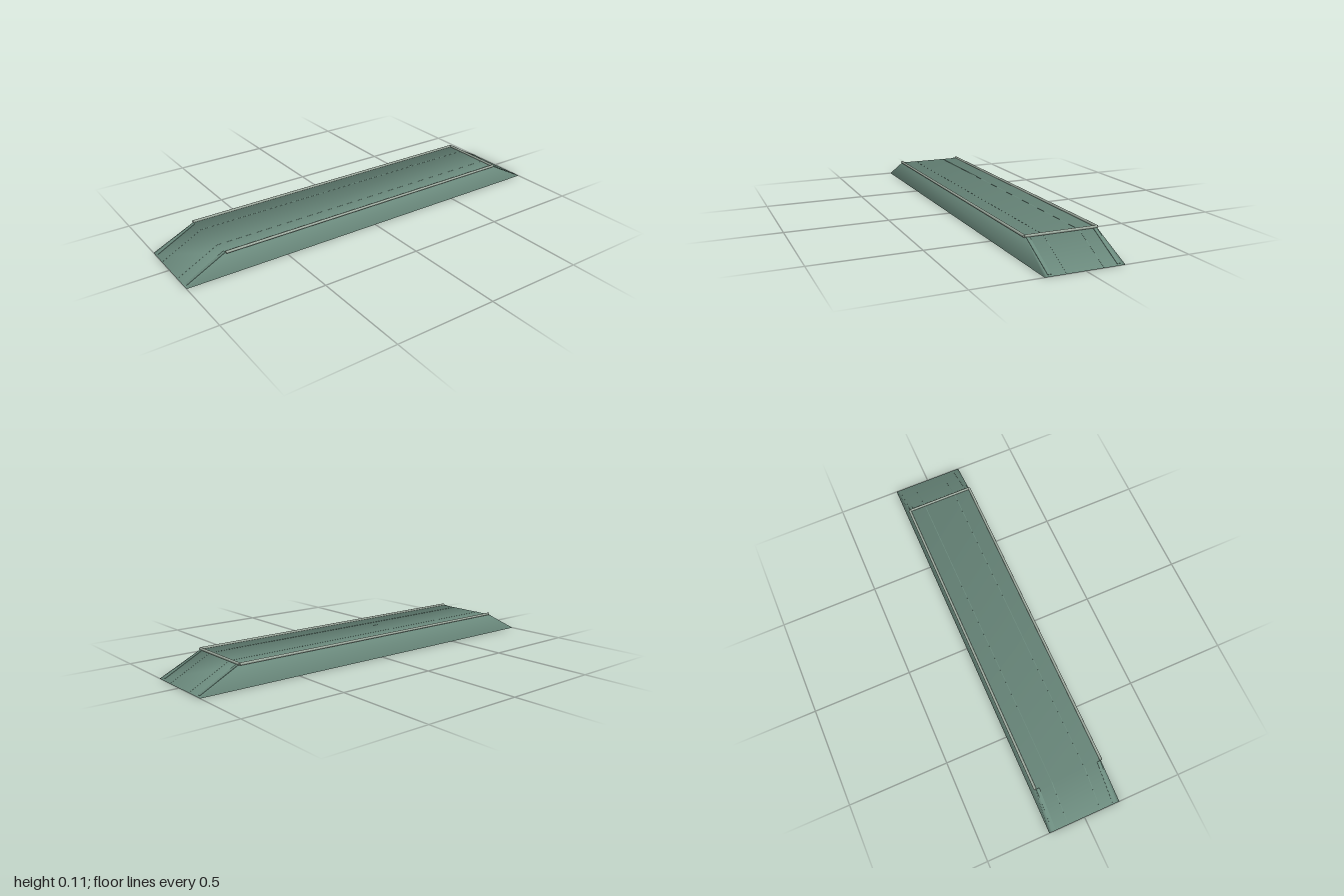
import * as THREE from 'three';

const TOP = 0.104, HALF = 0.17, BASE = 0.184, DECK = 0.8, END = 1;

export function createModel() {
  const ramp = new THREE.Group();
  ramp.name = 'skateRamp';
  const green = new THREE.MeshStandardMaterial({ color: 0x6b8a7d, side: THREE.DoubleSide });
  green.name = 'rampGreen';
  const steel = new THREE.MeshStandardMaterial({ color: 0x9dab9f });
  steel.name = 'paleSteel';

  const add = (name, geometry, material) => {
    const mesh = new THREE.Mesh(geometry, material);
    mesh.name = name;
    ramp.add(mesh);
    return mesh;
  };

  // Open-bottomed shell: each corner has a deck, a ramp-foot and a wall-foot point,
  // with normals shared softly between neighbouring panels
  const points = [], normals = [];
  for (const [sx, sz] of [[1, 1], [1, -1], [-1, -1], [-1, 1]]) {
    points.push(sx * HALF, TOP, sz * DECK, sx * HALF, 0, sz * END, sx * BASE, 0, sz * END);
    normals.push(sx * 0.62, 0.77, sz * 0.17, sx * 0.25, 0.86, sz * 0.44, sx * 0.98, 0.17, sz * 0.1);
  }
  const index = [];
  const quad = (a, b, c, d) => index.push(a, b, c, a, c, d);
  quad(0, 3, 6, 9);              // deck
  quad(0, 9, 10, 1);             // front slope
  quad(6, 3, 4, 7);              // back slope
  quad(0, 2, 5, 3);              // left wall
  quad(6, 8, 11, 9);             // right wall
  index.push(0, 1, 2, 3, 5, 4, 6, 7, 8, 9, 11, 10); // flared corners
  const shell = new THREE.BufferGeometry();
  shell.setAttribute('position', new THREE.Float32BufferAttribute(points, 3));
  shell.setAttribute('normal', new THREE.Float32BufferAttribute(normals, 3));
  shell.setIndex(index);
  add('rampShell', shell, green);

  // Flat strip lying on a slope: end is +1 for the front, -1 for the back
  const slope = Math.atan2(TOP, END - DECK);
  const slopeStrip = (name, x, width, yLow, lift, end) => {
    const yMid = (yLow + TOP) / 2;
    const length = (TOP - yLow) / Math.sin(slope);
    const strip = add(name, new THREE.BoxGeometry(width, lift, length), green);
    strip.position.set(x, yMid, end * (END - yMid / Math.tan(slope)));
    strip.rotation.x = end * slope;
  };

  for (const side of [1, -1]) {
    for (const end of [1, -1]) {
      slopeStrip('slopeEdgeStrip', side * 0.158, 0.016, 0.005, 0.004, end);
      slopeStrip('slopeSeam', side * 0.085, 0.003, 0.002, 0.001, end);
    }
    // Panel seam along the deck
    add('deckSeam', new THREE.BoxGeometry(0.003, 0.001, 2 * DECK), green)
      .position.set(side * 0.085, TOP, 0);
    // Round grind rail on the long edge
    const rail = add('sideRail', new THREE.CylinderGeometry(0.0065, 0.0065, 2 * DECK, 12), steel);
    rail.rotation.x = Math.PI / 2;
    rail.position.set(side * 0.171, 0.107, 0);
  }

  // Coping pipe across the back edge of the deck
  const coping = add('backCoping', new THREE.CylinderGeometry(0.0062, 0.0062, 0.342, 12), steel);
  coping.rotation.z = Math.PI / 2;
  coping.position.set(0, 0.1075, -DECK);

  return ramp;
}
